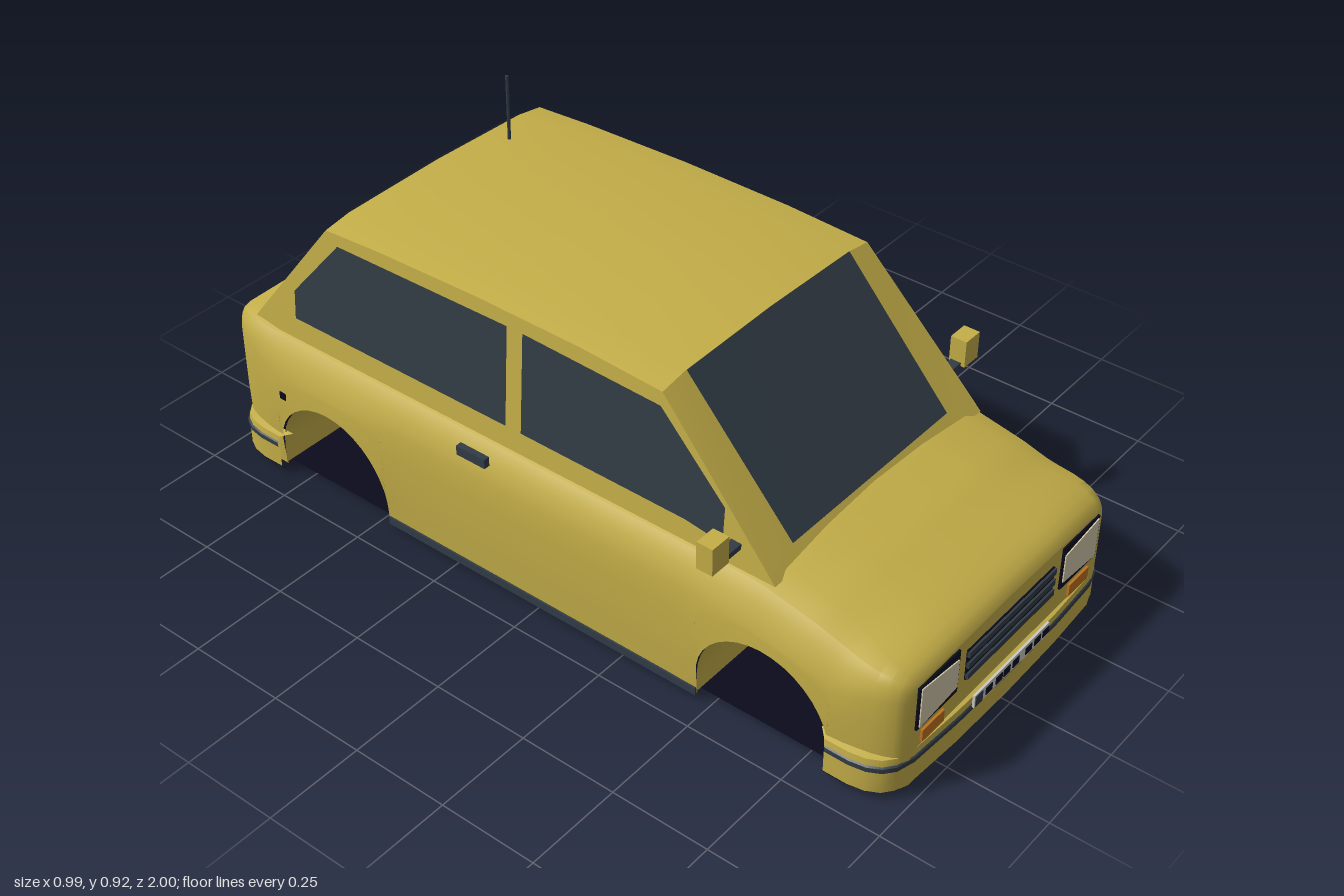
import * as THREE from 'three';
import { toCreasedNormals } from 'three/addons/utils/BufferGeometryUtils.js';

const mat = (name, color) => new THREE.MeshStandardMaterial({ name, color, side: THREE.DoubleSide });

export function createModel() {
  const car = new THREE.Group();
  car.name = 'car';
  const paint = mat('yellow paint', 0xc4ae48);
  const glass = mat('dark glass', 0x323c46);
  const navy = mat('navy black', 0x09091c);
  const lensMat = mat('headlight lens', 0xd2c8ac);
  const red = mat('tail red', 0x8e0a20);
  const orange = mat('indicator orange', 0xbc7222);
  const plateMat = mat('plate grey', 0xc8c8c0);

  const add = (name, geo, material, parent = car) => {
    const m = new THREE.Mesh(geo, material);
    m.name = name;
    parent.add(m);
    return m;
  };
  // Box from its min and max corners
  const box = (name, material, x0, x1, y0, y1, z0, z1) => {
    const m = add(name, new THREE.BoxGeometry(Math.abs(x1 - x0), y1 - y0, Math.abs(z1 - z0)), material);
    m.position.set((x0 + x1) / 2, (y0 + y1) / 2, (z0 + z1) / 2);
    return m;
  };
  // Surface through rows of points
  const grid = (rows, crease = 0.6) => {
    const n = rows[0].length, index = [];
    for (let i = 0; i < rows.length - 1; i++) {
      for (let j = 0; j < n - 1; j++) {
        const a = i * n + j, b = a + n;
        index.push(a, a + 1, b, b, a + 1, b + 1);
      }
    }
    const g = new THREE.BufferGeometry();
    g.setAttribute('position', new THREE.Float32BufferAttribute(rows.flat(2), 3));
    g.setIndex(index);
    return toCreasedNormals(g, crease);
  };
  // Piecewise linear lookup in ascending [key, value] pairs
  const lookup = (table, t) => {
    let i = 0;
    while (i < table.length - 2 && t > table[i + 1][0]) i++;
    const [a, b] = [table[i], table[i + 1]];
    return THREE.MathUtils.lerp(a[1], b[1], THREE.MathUtils.clamp((t - a[0]) / (b[0] - a[0]), 0, 1));
  };

  // Lower body: cross-sections along z, with wheel arches cut from the lower edge
  const ARCH_Z = 0.64, ARCH_R = 0.175, ARCH_Y = 0.08, SILL = 0.02, END = 0.975;
  const deck = [[-0.975, 0.398], [-0.965, 0.407], [-0.945, 0.414], [-0.9, 0.42], [0.6, 0.42], [0.75, 0.39],
    [0.88, 0.352], [0.93, 0.336], [0.955, 0.322], [0.968, 0.31], [0.975, 0.297]];
  const section = (z, yb) => {
    const e = Math.max(0, (Math.abs(z) - 0.83) / (END - 0.83));
    const w = 0.43 - 0.06 * (1 - Math.sqrt(Math.max(0, 1 - e * e)));
    const k = 1 - 0.65 * e, H = lookup(deck, z), yt = H - 0.12 * k;
    const d = (Math.abs(z) - ARCH_Z) / 0.24;
    const half = [];
    for (let i = 0; i <= 4; i++) {
      const y = THREE.MathUtils.lerp(yb, yt, i / 4);
      const flare = 0.01 * Math.max(0, 1 - d * d) * Math.max(0, 1 - ((y - 0.19) / 0.15) ** 2);
      half.push([w + flare - 0.008 * Math.max(0, (0.15 - y) / 0.13), y, z]);
    }
    half.push([w - 0.012 * k, H - 0.06 * k, z], [w - 0.035 * k, H - 0.028 * k, z],
      [w - 0.09 * k, H - 0.009 * k, z], [0.18, H, z]);
    return [...half, [0, H + 0.004, z], ...half.map(([x, y, q]) => [-x, y, q]).reverse()];
  };
  const halfStations = [[0, SILL], [0.25, SILL], [0.4, SILL], [ARCH_Z - ARCH_R, SILL]];
  for (let i = 0; i <= 18; i++) {
    const a = Math.PI * (1 - i / 18);
    halfStations.push([ARCH_Z + ARCH_R * Math.cos(a), ARCH_Y + ARCH_R * Math.sin(a)]);
  }
  for (const z of [ARCH_Z + ARCH_R, 0.85, 0.88, 0.91, 0.935, 0.955, 0.968, END]) halfStations.push([z, SILL]);
  const stations = [...halfStations.slice(1).map(([z, y]) => [-z, y]).reverse(), ...halfStations];
  const sections = stations.map(([z, y]) => section(z, y));
  add('lowerBody', grid(sections), paint);
  for (const [name, s] of [['rearPanel', sections[0]], ['frontPanel', sections.at(-1)]]) {
    add(name, grid(s.slice(0, s.length / 2 + 1).map((p, i) => [p, s[s.length - 1 - i]])), paint);
  }

  // Wheel wells across the car, and the floor
  for (const s of [1, -1]) {
    const rows = [];
    for (let i = -1; i <= 19; i++) {
      const a = Math.PI * THREE.MathUtils.clamp(i / 18, 0, 1);
      const y = i < 0 || i > 18 ? 0.026 : ARCH_Y + ARCH_R * Math.sin(a);
      const z = s * (ARCH_Z + ARCH_R * Math.cos(a));
      rows.push([[-0.425, y, z], [0.425, y, z]]);
    }
    add('wheelWell', grid(rows), paint);
  }
  const floor = add('floor', new THREE.PlaneGeometry(0.82, 1.86), navy);
  floor.rotation.x = Math.PI / 2;
  floor.position.y = 0.026;

  // Bumpers: bands swept round each end
  const plan = [[0.443, 0.815], [0.443, 0.875], [0.436, 0.915], [0.42, 0.945], [0.395, 0.965], [0.35, 0.977], [0.2, 0.985], [0, 0.988]];
  const path = [...plan, ...plan.slice(0, -1).map(([x, z]) => [-x, z]).reverse()];
  const bands = [
    ['bumperLip', navy, [[-0.018, 0], [0, 0.024]]],
    ['bumperLower', paint, [[0, 0.024], [0, 0.08]]],
    ['bumperStripe', glass, [[0, 0.08], [0.003, 0.083], [0.003, 0.095], [0, 0.098]]],
    ['bumperUpper', paint, [[0, 0.098], [-0.002, 0.114], [-0.025, 0.12]]],
  ];
  for (const s of [1, -1]) {
    for (const [name, material, profile] of bands) {
      add(name, grid(profile.map(([o, y]) => path.map(([x, z]) => [x * (1 + o / 0.44), y, s * (z + o)]))), material);
    }
  }

  // Cabin: crowned top surface running from windscreen over roof to rear window
  const sideX = (y) => 0.387 - (y - 0.42) * 0.07;
  const outline = [[0.637, 0.395], [0.605, 0.43], [0.32, 0.75], [0.1, 0.761], [-0.2, 0.764], [-0.5, 0.757],
    [-0.66, 0.748], [-0.89, 0.43], [-0.915, 0.395]];
  const crown = (y) => 0.018 * THREE.MathUtils.clamp((y - 0.43) / 0.32, 0, 1);
  const across = ([z, y]) => {
    const c = crown(y), edge = y - c;
    const half = [[sideX(edge), edge, z], [0.29, y - c * 0.35, z]];
    return [...half, [0, y, z], ...half.map(([x, h, q]) => [-x, h, q]).reverse()];
  };
  const top = outline.map(across);
  add('cabinTop', grid(top, 0.3), paint);
  for (const i of [0, 4]) {
    const s = i ? -1 : 1;
    add('cabinSide', grid(top.map((r) => [r[i], [s * sideX(0.395), 0.395, r[i][2]]])), paint);
  }
  for (const [name, a, b, s] of [['windscreen', 1, 2, 1], ['rearWindow', 6, 7, -1]]) {
    add(name, grid([top[a], top[b]].map((r) => r.slice(1, 4).map(([x, y, z]) => [x, y + 0.003, z + s * 0.003]))), glass);
  }

  // Side windows lie on the sloping cabin sides
  const windows = [
    ['frontSideWindow', [[0.5, 0.44], [0.5, 0.53], [0.32, 0.7], [-0.06, 0.712], [-0.06, 0.455], [0.4, 0.452]]],
    ['rearSideWindow', [[-0.105, 0.455], [-0.105, 0.712], [-0.62, 0.705], [-0.768, 0.53], [-0.768, 0.455]]],
  ];
  for (const s of [1, -1]) {
    for (const [name, pts] of windows) {
      const g = new THREE.ShapeGeometry(new THREE.Shape(pts.map((p) => new THREE.Vector2(...p))));
      const p = g.attributes.position;
      for (let i = 0; i < p.count; i++) p.setXYZ(i, s * (sideX(p.getY(i)) + 0.004), p.getY(i), p.getX(i));
      g.computeVertexNormals();
      add(name, g, glass);
    }
    // Mirrors, handles and side trim
    box('mirror', paint, s * 0.44, s * 0.495, 0.45, 0.52, 0.513, 0.555);
    box('mirrorArm', glass, s * 0.375, s * 0.463, 0.445, 0.459, 0.518, 0.545);
    box('doorHandle', glass, s * 0.42, s * 0.436, 0.35, 0.375, -0.215, -0.13);
    box('sideMarker', navy, s * 0.425, s * 0.437, 0.234, 0.254, -0.8, -0.78);
    box('sillTrim', glass, s * 0.415, s * 0.428, 0.015, 0.035, -0.463, 0.463);

    // Lamps
    box('headlightSurround', navy, s * 0.205, s * 0.356, 0.174, 0.29, 0.972, 0.98);
    const lens = new THREE.Shape([[0.211, 0.192], [0.349, 0.18], [0.349, 0.286], [0.211, 0.268]]
      .map(([x, y]) => new THREE.Vector2(s * x, y)));
    add('headlightLens', new THREE.ExtrudeGeometry(lens, { depth: 0.004, bevelEnabled: false }), lensMat).position.z = 0.979;
    box('frontIndicator', orange, s * 0.25, s * 0.332, 0.125, 0.157, 0.972, 0.981);
    box('tailLightSurround', navy, s * 0.243, s * 0.357, 0.243, 0.387, -0.98, -0.972);
    box('tailLight', red, s * 0.25, s * 0.35, 0.25, 0.38, -0.983, -0.978);
    box('rearIndicator', orange, s * 0.262, s * 0.338, 0.17, 0.222, -0.981, -0.972);
  }

  // Grille
  box('grille', navy, -0.172, 0.172, 0.18, 0.262, 0.972, 0.979);
  for (const y of [0.184, 0.214, 0.244]) box('grilleBar', glass, -0.172, 0.172, y, y + 0.016, 0.977, 0.984);

  // Plates with plain dark blocks
  const plate = (name, s, z, y0, y1) => {
    box(name, plateMat, -0.15, 0.15, y0, y1, s * z, s * (z + 0.006));
    const m = (y1 - y0) * 0.22;
    box('plateBadge', glass, s * -0.147, s * -0.12, y0 + 0.003, y1 - 0.003, s * (z + 0.005), s * (z + 0.008));
    for (const x of [-0.107, -0.067, -0.036, 0, 0.052, 0.088, 0.122]) {
      box('plateBlock', navy, s * x, s * (x + 0.025), y0 + m, y1 - m, s * (z + 0.005), s * (z + 0.008));
    }
  };
  plate('frontPlate', 1, 0.988, 0.092, 0.126);
  plate('rearPlate', -1, 0.973, 0.175, 0.237);

  // Rear fog lamp and aerial
  box('rearLampBlock', glass, 0.197, 0.235, 0.03, 0.066, -1.0, -0.975);
  add('aerial', new THREE.CylinderGeometry(0.004, 0.004, 0.17, 8), glass).position.set(0.178, 0.835, -0.59);

  return car;
}
